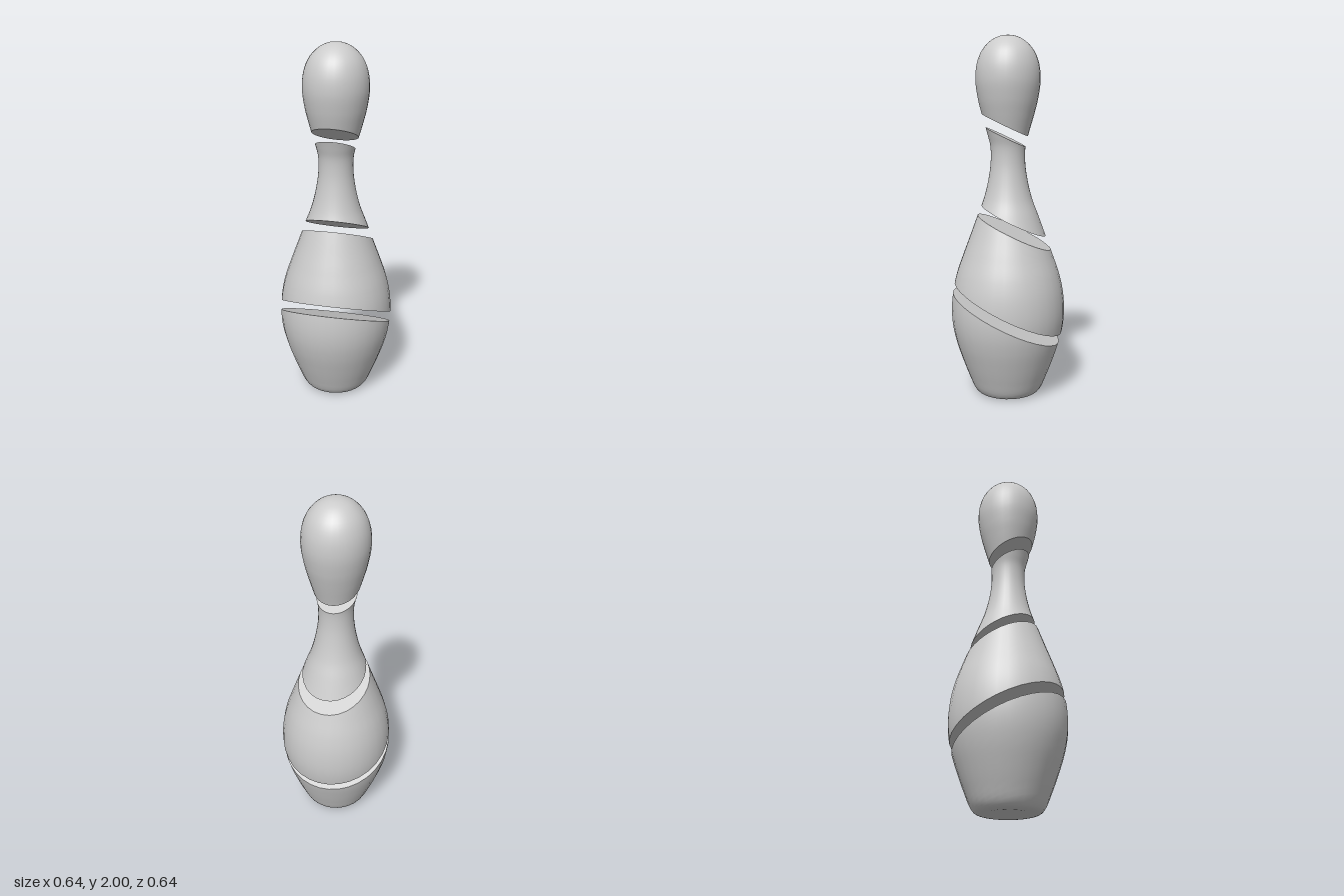
import * as THREE from 'three';

const SIDES = 32, ROWS = 28, SLOPE = 0.475;

// Pin outline as (radius, height), from base centre to crown
const outline = new THREE.CatmullRomCurve3([
  [0, 0.006], [0.08, 0.006], [0.14, 0.002], [0.17, 0.01], [0.19, 0.032], [0.224, 0.11],
  [0.258, 0.2], [0.291, 0.3], [0.311, 0.39], [0.318, 0.48], [0.31, 0.59], [0.288, 0.69],
  [0.25, 0.8], [0.211, 0.905], [0.169, 1.02], [0.135, 1.11], [0.11, 1.21], [0.096, 1.31],
  [0.097, 1.4], [0.111, 1.46], [0.144, 1.575], [0.165, 1.66], [0.178, 1.76], [0.169, 1.85],
  [0.14, 1.92], [0.09, 1.972], [0.04, 1.995], [0, 2],
].map(([r, y]) => new THREE.Vector3(r, y, 0)));

// Outline parameter where the column at angle a meets the slanted cut
function cutAt(height, a) {
  let lo = 0, hi = 1;
  for (let k = 0; k < 24; k++) {
    const mid = (lo + hi) / 2, p = outline.getPoint(mid);
    if (p.y < height + SLOPE * p.x * Math.cos(a)) lo = mid; else hi = mid;
  }
  return lo;
}

// Solid slice between two slanted cuts; null leaves that end of the pin whole
function sliceGeometry(bottom, top) {
  const pos = [], nor = [], idx = [], rims = [[], []];
  for (let i = 0; i <= SIDES; i++) {
    const a = (i / SIDES) * Math.PI * 2, s = Math.sin(a), c = Math.cos(a);
    const t0 = bottom === null ? 0 : cutAt(bottom, a);
    const t1 = top === null ? 1 : cutAt(top, a);
    for (let j = 0; j <= ROWS; j++) {
      const t = t0 + (t1 - t0) * j / ROWS;
      const p = outline.getPoint(t), d = outline.getTangent(t);
      if (t === 0 || t === 1) d.set(t === 0 ? 1 : -1, 0, 0); // level at the poles
      pos.push(p.x * s, p.y, p.x * c);
      nor.push(d.y * s, -d.x, d.y * c);
      if (j === 0) rims[0].push([p.x * s, p.y, p.x * c]);
      if (j === ROWS) rims[1].push([p.x * s, p.y, p.x * c]);
      if (i < SIDES && j < ROWS) {
        const A = i * (ROWS + 1) + j, B = A + ROWS + 1;
        idx.push(A, B, B + 1, A, B + 1, A + 1);
      }
    }
  }
  // Flat cut faces
  [bottom, top].forEach((height, end) => {
    if (height === null) return;
    const sign = end ? 1 : -1, len = Math.hypot(1, SLOPE), centre = pos.length / 3;
    [[0, height, 0], ...rims[end]].forEach(v => {
      pos.push(...v);
      nor.push(0, sign / len, -sign * SLOPE / len);
    });
    for (let i = 1; i <= SIDES; i++) {
      if (end) idx.push(centre, centre + i, centre + i + 1);
      else idx.push(centre, centre + i + 1, centre + i);
    }
  });
  const g = new THREE.BufferGeometry();
  g.setAttribute('position', new THREE.Float32BufferAttribute(pos, 3));
  g.setAttribute('normal', new THREE.Float32BufferAttribute(nor, 3));
  g.setIndex(idx);
  return g;
}

export function createModel() {
  const group = new THREE.Group();
  group.name = 'slicedBowlingPin';
  const material = new THREE.MeshStandardMaterial({ color: 0xcccccc });
  // Cut heights are measured on the central axis
  [
    ['base', null, 0.436],
    ['belly', 0.497, 0.941],
    ['neck', 1.004, 1.446],
    ['head', 1.509, null],
  ].forEach(([name, bottom, top]) => {
    const mesh = new THREE.Mesh(sliceGeometry(bottom, top), material);
    mesh.name = name;
    group.add(mesh);
  });
  return group;
}
